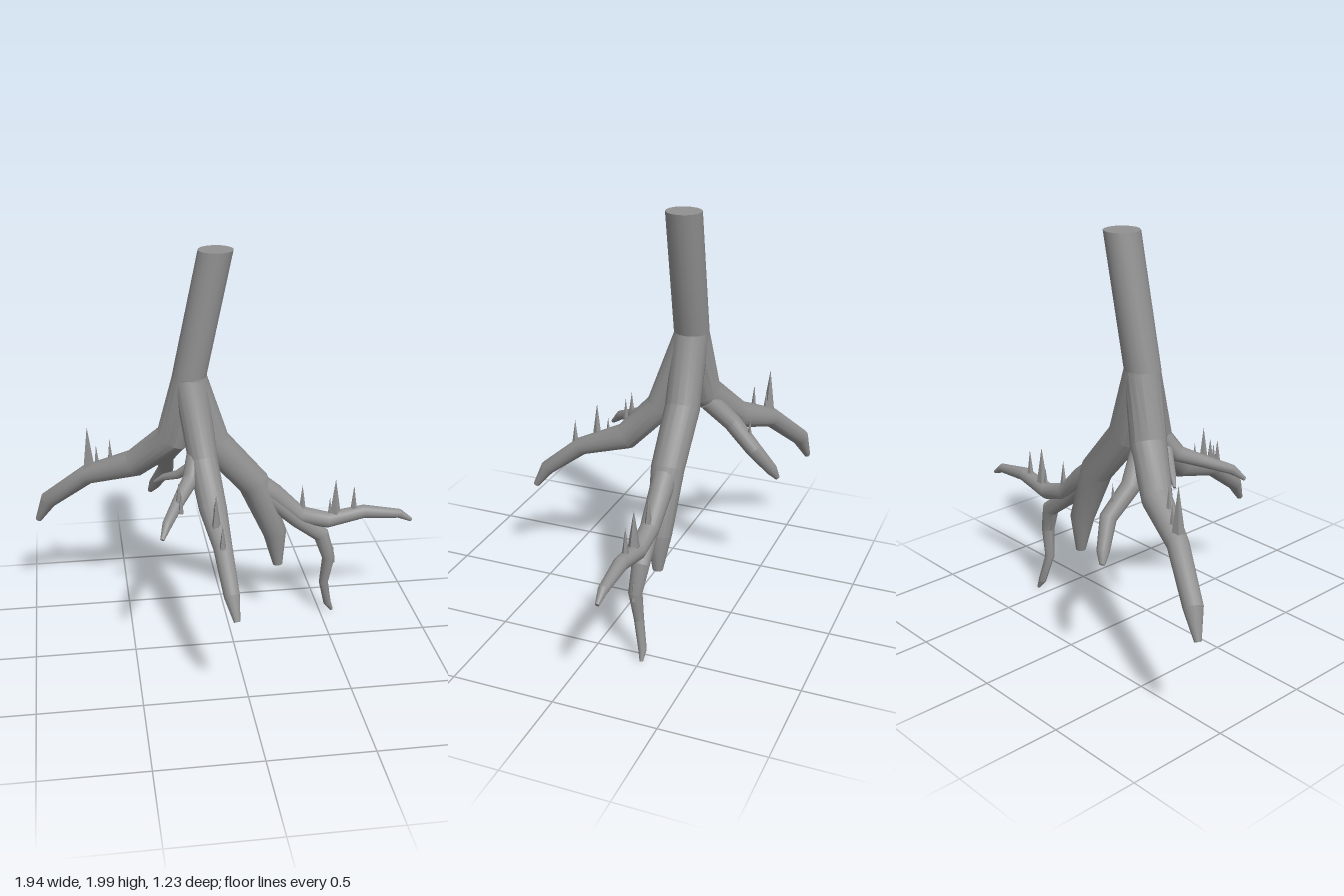
import * as THREE from 'three';
import { toCreasedNormals } from 'three/addons/utils/BufferGeometryUtils.js';

const SIDES = 16;

// Capped tapering limb through rows of [x, y, z, radius].
// The first `level` rings lie flat instead of square to the path.
function limbGeometry(rows, level = 0) {
  const pts = rows.map(([x, y, z]) => new THREE.Vector3(x, y, z));
  const pos = [], index = [];
  const u = new THREE.Vector3(1, 0, 0), v = new THREE.Vector3();
  const last = rows.length - 1;
  pts.forEach((p, i) => {
    const t = new THREE.Vector3();
    if (i > 0) t.add(p.clone().sub(pts[i - 1]).normalize());
    if (i < last) t.add(pts[i + 1].clone().sub(p).normalize());
    if (i < level) t.set(0, -1, 0);
    t.normalize();
    u.addScaledVector(t, -u.dot(t)).normalize();
    v.crossVectors(t, u);
    for (let j = 0; j < SIDES; j++) {
      const a = (j / SIDES) * Math.PI * 2;
      const q = p.clone().addScaledVector(u, Math.cos(a) * rows[i][3])
        .addScaledVector(v, Math.sin(a) * rows[i][3]);
      pos.push(q.x, q.y, q.z);
    }
  });
  const start = pos.length / 3;
  pos.push(...pts[0].toArray(), ...pts[last].toArray());
  for (let j = 0; j < SIDES; j++) {
    const k = (j + 1) % SIDES;
    for (let i = 0; i < last; i++) {
      const a = i * SIDES, b = a + SIDES;
      index.push(a + j, a + k, b + j, a + k, b + k, b + j);
    }
    index.push(start, k, j, start + 1, last * SIDES + j, last * SIDES + k);
  }
  const g = new THREE.BufferGeometry();
  g.setAttribute('position', new THREE.Float32BufferAttribute(pos, 3));
  g.setIndex(index);
  return toCreasedNormals(g, 0.46);
}

export function createModel() {
  const model = new THREE.Group();
  model.name = 'branchingRoot';
  const bark = new THREE.MeshStandardMaterial({ color: 0x919191 });
  bark.name = 'greyBark';

  const limb = (name, rows, level) => {
    const mesh = new THREE.Mesh(limbGeometry(rows, level), bark);
    mesh.name = name;
    model.add(mesh);
  };

  // Slanted trunk
  limb('trunk', [[-0.055, 2, -0.2, 0.085], [-0.187, 1.39, -0.2, 0.085]], 2);

  // Large roots leaving the trunk
  limb('leftRoot', [
    [-0.187, 1.39, -0.2, 0.085], [-0.075, 1.04, -0.2, 0.085], [0.13, 0.805, -0.205, 0.08],
    [0.245, 0.51, -0.21, 0.06], [0.262, 0.33, -0.21, 0.025]], 1);
  limb('backRightRoot', [
    [-0.187, 1.39, -0.2, 0.085], [-0.27, 1.06, -0.24, 0.085], [-0.455, 0.88, -0.36, 0.07],
    [-0.695, 0.785, -0.465, 0.05], [-0.9, 0.605, -0.575, 0.045], [-0.96, 0.48, -0.605, 0.016]], 1);
  limb('frontRoot', [
    [-0.187, 1.39, -0.2, 0.083], [-0.14, 1.0, -0.06, 0.072], [-0.115, 0.82, 0.11, 0.067],
    [-0.1, 0.73, 0.35, 0.045], [-0.085, 0.58, 0.54, 0.037], [-0.07, 0.48, 0.6, 0.015]], 1);

  // Side shoots
  limb('leftOuterShoot', [
    [0.13, 0.81, -0.205, 0.06], [0.24, 0.725, -0.21, 0.055], [0.37, 0.605, -0.21, 0.046],
    [0.52, 0.565, -0.21, 0.042], [0.71, 0.6, -0.21, 0.035], [0.9, 0.575, -0.21, 0.024],
    [0.965, 0.535, -0.21, 0.01]]);
  limb('leftHangingShoot', [
    [0.17, 0.76, -0.2, 0.05], [0.36, 0.58, -0.205, 0.042], [0.49, 0.48, -0.215, 0.042],
    [0.53, 0.35, -0.205, 0.033], [0.51, 0.2, -0.215, 0.024], [0.54, 0.06, -0.245, 0.02],
    [0.567, 0.01, -0.25, 0.008]]);
  limb('backShoot', [
    [-0.25, 1.02, -0.27, 0.05], [-0.3, 0.9, -0.38, 0.045], [-0.285, 0.78, -0.5, 0.04],
    [-0.34, 0.66, -0.58, 0.03], [-0.363, 0.61, -0.605, 0.013]]);
  limb('frontSideShoot', [
    [-0.165, 1.06, -0.09, 0.045], [-0.21, 0.93, 0.0, 0.04], [-0.28, 0.875, 0.12, 0.03],
    [-0.345, 0.82, 0.24, 0.024], [-0.376, 0.765, 0.295, 0.01]]);
  limb('smallSideShoot', [
    [-0.17, 1.0, -0.04, 0.03], [-0.26, 0.92, -0.095, 0.022], [-0.325, 0.89, -0.14, 0.017],
    [-0.37, 0.855, -0.17, 0.007]]);

  // Upright thorns: x, z, base height, tip height, base radius
  const thorns = [
    [0.385, -0.21, 0.62, 0.77, 0.024], [0.53, -0.21, 0.59, 0.69, 0.016],
    [0.558, -0.21, 0.59, 0.79, 0.034], [0.655, -0.21, 0.61, 0.75, 0.021],
    [0.552, -0.205, 0.34, 0.425, 0.013],
    [-0.685, -0.455, 0.81, 1.05, 0.036], [-0.643, -0.45, 0.83, 0.95, 0.018],
    [-0.575, -0.405, 0.85, 1.0, 0.02],
    [-0.29, -0.475, 0.81, 0.94, 0.02],
    [-0.12, 0.21, 0.81, 0.9, 0.015], [-0.12, 0.27, 0.78, 0.965, 0.028],
    [-0.105, 0.385, 0.73, 0.865, 0.022],
    [-0.282, 0.15, 0.88, 0.985, 0.018], [-0.275, 0.18, 0.86, 0.95, 0.013]];
  thorns.forEach(([x, z, base, tip, r], i) => {
    const foot = base - 0.02;
    const geo = toCreasedNormals(new THREE.ConeGeometry(r, tip - foot, 5), 0.4);
    const thorn = new THREE.Mesh(geo, bark);
    thorn.name = `thorn${i + 1}`;
    thorn.position.set(x, (tip + foot) / 2, z);
    thorn.rotation.y = i * 1.3;
    model.add(thorn);
  });
  return model;
}
